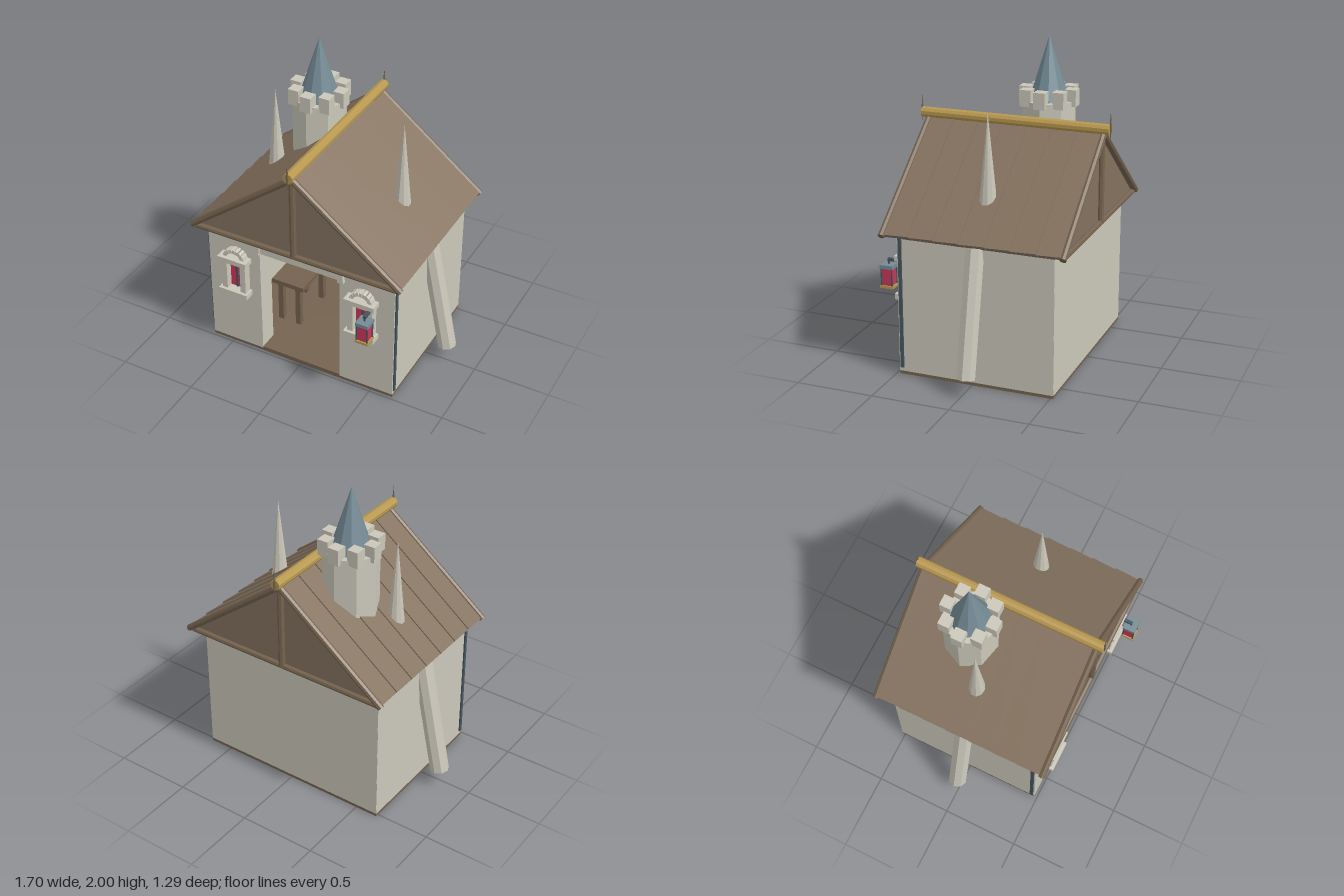
import * as THREE from 'three';

const mat = (color) => new THREE.MeshStandardMaterial({ color, flatShading: true });
const stone = mat(0xcbc8ba), plank = mat(0x85725f), timber = mat(0x75634f), slate = mat(0x758b96);
const gold = mat(0xb8984f), red = mat(0xcc3558), trim = mat(0x46555f);

function add(parent, name, geo, material, x = 0, y = 0, z = 0) {
  const m = new THREE.Mesh(geo, material);
  m.name = name;
  m.position.set(x, y, z);
  parent.add(m);
  return m;
}

// Box given by its minimum and maximum on each axis
function box(parent, name, material, [x0, x1], [y0, y1], [z0, z1]) {
  return add(parent, name, new THREE.BoxGeometry(x1 - x0, y1 - y0, z1 - z0), material,
    (x0 + x1) / 2, (y0 + y1) / 2, (z0 + z1) / 2);
}

// Faceted round beam from point a to point b
function beam(parent, name, material, a, b, r, sides = 8) {
  const p = new THREE.Vector3(...a), q = new THREE.Vector3(...b);
  const m = add(parent, name, new THREE.CylinderGeometry(r, r, p.distanceTo(q), sides), material);
  m.position.copy(p).lerp(q, 0.5);
  m.quaternion.setFromUnitVectors(new THREE.Vector3(0, 1, 0), q.sub(p).normalize());
  return m;
}

function group(parent, name) {
  const g = new THREE.Group();
  g.name = name;
  parent.add(g);
  return g;
}

function buildWalls(root) {
  const g = group(root, 'walls');
  box(g, 'floor', timber, [-0.65, 0.65], [0, 0.03], [-0.52, 0.48]);
  box(g, 'backWall', stone, [-0.65, 0.65], [0.02, 0.89], [-0.521, -0.46]);
  for (const s of [-1, 1]) {
    box(g, 'sideWall', stone, s < 0 ? [-0.651, -0.59] : [0.59, 0.651], [0.02, 0.89], [-0.52, 0.48]);
    box(g, 'cornerTrim', trim, s < 0 ? [-0.66, -0.64] : [0.64, 0.66], [0.045, 0.89], [0.45, 0.472]);
    box(g, 'eaveTrim', trim, s < 0 ? [-0.656, -0.64] : [0.64, 0.656], [0.882, 0.897], [-0.52, 0.472]);
  }
  // front wall with the doorway cut out
  const shape = new THREE.Shape([[-0.65, 0.02], [-0.28, 0.02], [-0.28, 0.79], [0.28, 0.79], [0.28, 0.02],
    [0.65, 0.02], [0.65, 0.89], [-0.65, 0.89]].map((p) => new THREE.Vector2(...p)));
  add(g, 'frontWall', new THREE.ExtrudeGeometry(shape, { depth: 0.13, bevelEnabled: false }), stone, 0, 0, 0.351);
  // lintel and its tilted corbels
  box(g, 'lintel', stone, [-0.27, 0.27], [0.79, 0.885], [0.44, 0.488]);
  for (const s of [-1, 1]) {
    add(g, 'corbel', new THREE.BoxGeometry(0.04, 0.08, 0.06), stone, s * 0.292, 0.825, 0.475).rotation.z = s * 0.12;
    add(g, 'corbelCap', new THREE.BoxGeometry(0.05, 0.03, 0.06), stone, s * 0.285, 0.875, 0.475).rotation.z = -s * 0.4;
  }
}

function buildRoof(root) {
  const g = group(root, 'roof');
  const top = 1.468, eaveX = 0.712, eaveY = 0.912;
  const len = Math.hypot(eaveX, top - eaveY), slope = Math.atan2(top - eaveY, eaveX);
  const count = 7, pitch = 1.13 / count;
  for (const s of [-1, 1]) {
    // overlapping planks, each rolled slightly over the next
    for (let i = 0; i < count; i++) {
      const holder = group(g, 'roofPlank');
      holder.position.set(s * eaveX / 2, (top + eaveY) / 2, -0.587 + pitch * (i + 0.5));
      holder.rotation.z = -s * slope;
      add(holder, 'plank', new THREE.BoxGeometry(len, 0.024, pitch + 0.012), plank).rotation.x = 0.05;
    }
    for (const z of [0.55, -0.595]) {
      beam(g, 'bargeBeam', timber, [0, top, z], [s * (eaveX + 0.008), eaveY - 0.005, z], 0.021);
    }
  }
  // gable ends
  const tri = new THREE.Shape([[-0.69, 0.905], [0.69, 0.905], [0, 1.455]].map((p) => new THREE.Vector2(...p)));
  for (const [z, post] of [[0.51, 0.545], [-0.575, -0.585]]) {
    add(g, 'gablePanel', new THREE.ExtrudeGeometry(tri, { depth: 0.02, bevelEnabled: false }), plank, 0, 0, z);
    beam(g, 'kingPost', timber, [0, 0.9, post], [0, 1.46, post], 0.021);
    beam(g, 'tieBeam', timber, [-0.69, 0.907, post], [0.69, 0.907, post], 0.018);
  }
  // ridge beam with pointed finials
  beam(g, 'ridgeBeam', gold, [0, 1.497, -0.635], [0, 1.497, 0.595], 0.034, 10);
  for (const z of [-0.637, 0.597]) {
    add(g, 'finialSpike', new THREE.ConeGeometry(0.009, 0.11, 6), timber, 0, 1.555, z);
    add(g, 'finialPoint', new THREE.ConeGeometry(0.009, 0.07, 6), timber, 0, 1.47, z).rotation.x = Math.PI;
  }
}

function buildTower(root) {
  const g = group(root, 'tower');
  g.position.set(-0.21, 0, -0.17);
  add(g, 'towerShaft', new THREE.CylinderGeometry(0.175, 0.175, 0.7, 8), stone, 0, 1.25, 0);
  for (let i = 0; i < 8; i++) {
    const a = i * Math.PI / 4;
    add(g, 'merlon', new THREE.BoxGeometry(0.073, 0.105, 0.073), stone, 0.15 * Math.cos(a), 1.622, 0.15 * Math.sin(a));
  }
  add(g, 'towerRoof', new THREE.ConeGeometry(0.127, 0.4, 10), slate, 0, 1.8, 0);
}

function buildWindow(root, x) {
  const g = group(root, 'window');
  g.position.x = x;
  box(g, 'glass', red, [-0.047, 0.047], [0.47, 0.7], [0.47, 0.49]);
  box(g, 'mullion', trim, [-0.007, 0.007], [0.47, 0.7], [0.48, 0.497]);
  box(g, 'sill', stone, [-0.102, 0.102], [0.44, 0.475], [0.47, 0.555]);
  box(g, 'head', stone, [-0.102, 0.102], [0.688, 0.722], [0.47, 0.555]);
  for (const s of [-1, 1]) {
    box(g, 'jamb', stone, s < 0 ? [-0.085, -0.047] : [0.047, 0.085], [0.47, 0.69], [0.47, 0.535]);
    box(g, 'sillFoot', stone, [s * 0.075 - 0.012, s * 0.075 + 0.012], [0.428, 0.445], [0.47, 0.54]);
  }
  // arch of small stones
  for (let i = 0; i < 9; i++) {
    const a = Math.PI * (i + 0.5) / 9;
    add(g, 'archStone', new THREE.BoxGeometry(0.026, 0.018, 0.06), stone,
      0.062 * Math.cos(a), 0.718 + 0.05 * Math.sin(a), 0.5).rotation.z = a;
  }
}

function buildLantern(root) {
  const g = group(root, 'lantern');
  g.position.set(0.515, 0, 0.605);
  box(g, 'lanternArm', trim, [-0.01, 0.01], [0.676, 0.694], [-0.13, 0.005]);
  box(g, 'lanternHook', trim, [-0.005, 0.005], [0.65, 0.68], [-0.005, 0.005]);
  box(g, 'lanternCap', slate, [-0.043, 0.043], [0.632, 0.656], [-0.043, 0.043]);
  box(g, 'lanternGlass', red, [-0.033, 0.033], [0.52, 0.634], [-0.033, 0.033]);
  box(g, 'lanternBase', gold, [-0.043, 0.043], [0.506, 0.522], [-0.043, 0.043]);
  for (const x of [-0.035, 0.035]) for (const z of [-0.035, 0.035]) {
    box(g, 'lanternPost', trim, [x - 0.004, x + 0.004], [0.52, 0.634], [z - 0.004, z + 0.004]);
  }
}

function buildTable(root) {
  const g = group(root, 'table');
  box(g, 'tableTop', timber, [-0.37, -0.14], [0.33, 0.362], [-0.2, 0.2]);
  for (const x of [-0.32, -0.192]) for (const z of [-0.15, 0.16]) {
    box(g, 'tableLeg', timber, [x - 0.018, x + 0.018], [0.03, 0.335], [z - 0.018, z + 0.018]);
  }
}

export function createModel() {
  const root = new THREE.Group();
  root.name = 'cottage';
  buildWalls(root);
  buildRoof(root);
  buildTower(root);
  buildLantern(root);
  buildTable(root);
  for (const s of [-1, 1]) {
    buildWindow(root, s * 0.445);
    // leaning buttress and roof spire on each side
    beam(root, 'buttress', stone, [s * 0.793, 0.108, -0.02], [s * 0.632, 0.9, -0.02], 0.06, 8);
    add(root, 'roofSpire', new THREE.ConeGeometry(0.058, 0.58, 10), stone, s * 0.44, 1.36, -0.025);
  }
  return root;
}
